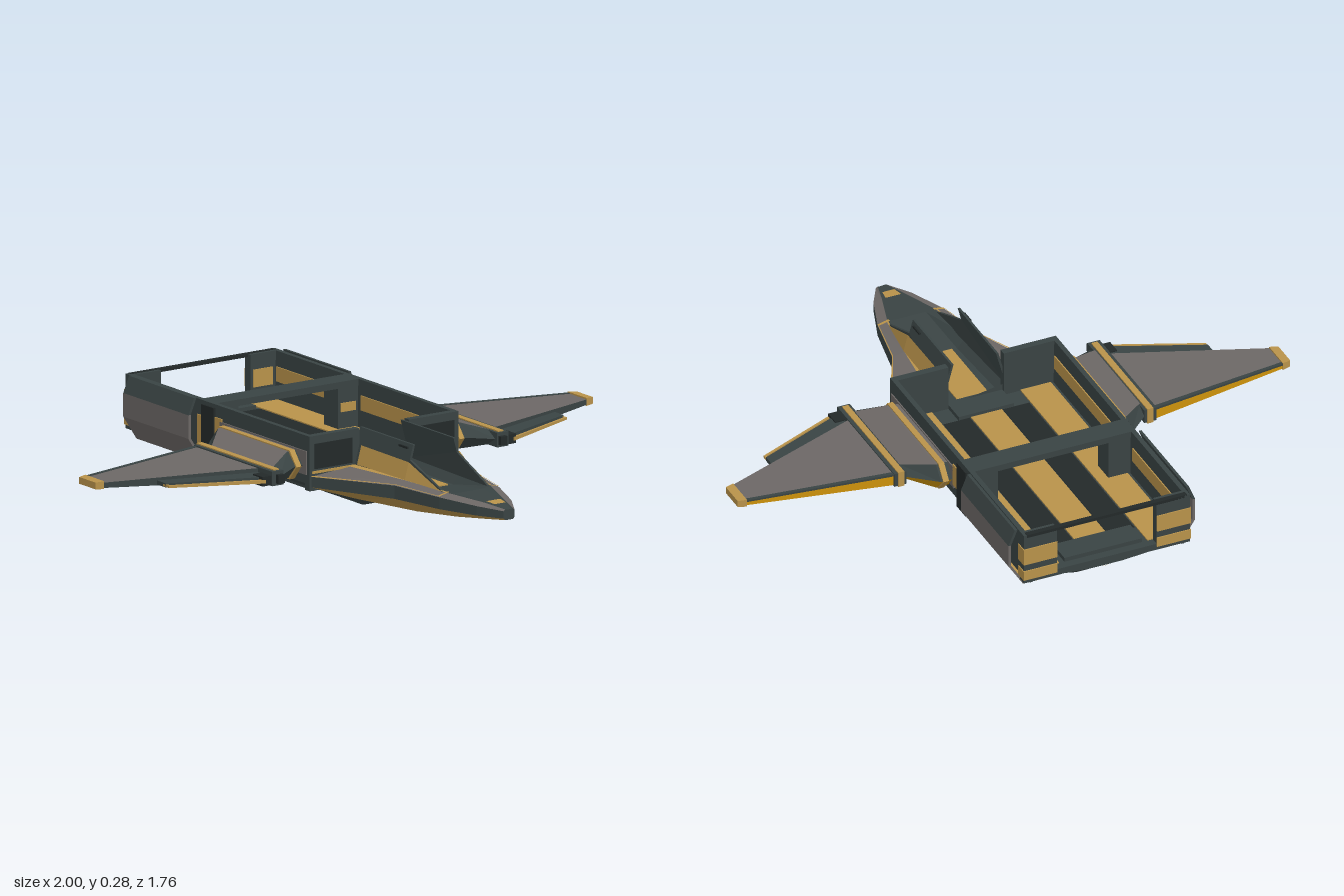
import * as THREE from 'three';

const mat = (name, color) => {
  const m = new THREE.MeshStandardMaterial({ color, flatShading: true, side: THREE.DoubleSide });
  m.name = name;
  return m;
};

export function createModel() {
  const ship = new THREE.Group();
  ship.name = 'openHullShip';
  const dark = mat('slate', 0x394343), gold = mat('gold', 0xb8924a), grey = mat('warmGrey', 0x6c6765),
    amber = mat('amber', 0xcc920c), black = mat('charcoal', 0x232929);

  const add = (name, geometry, material) => {
    const mesh = new THREE.Mesh(geometry, material);
    mesh.name = name;
    ship.add(mesh);
    return mesh;
  };
  // Box from its limits
  const box = (name, m, x0, x1, y0, y1, z0, z1) => {
    const g = new THREE.BoxGeometry(Math.abs(x1 - x0), y1 - y0, z1 - z0);
    g.translate((x0 + x1) / 2, (y0 + y1) / 2, (z0 + z1) / 2);
    return add(name, g, m);
  };
  // Solid through matching rings of points; one material per ring side, the last one for the caps
  const loft = (name, rings, mats) => {
    const list = Array.isArray(mats) ? mats : [mats];
    const used = [...new Set(list)], buckets = used.map(() => []), n = rings[0].length;
    const put = (side, ...tri) => buckets[used.indexOf(list[Math.min(side, list.length - 1)])].push(tri);
    for (let r = 0; r + 1 < rings.length; r++) {
      for (let i = 0; i < n; i++) {
        const j = (i + 1) % n, a = rings[r], b = rings[r + 1];
        put(i, a[i], a[j], b[j]);
        put(i, a[i], b[j], b[i]);
      }
    }
    const end = rings[rings.length - 1];
    for (let i = 1; i + 1 < n; i++) {
      put(n, rings[0][0], rings[0][i + 1], rings[0][i]);
      put(n, end[0], end[i], end[i + 1]);
    }
    // Turn every face outward, judged by the signed volume
    const o = new THREE.Vector3(...rings[0][0]);
    let volume = 0;
    buckets.flat().forEach(t => {
      const [a, b, c] = t.map(p => new THREE.Vector3(...p).sub(o));
      volume += a.dot(b.cross(c));
    });
    const g = new THREE.BufferGeometry(), pos = [];
    buckets.forEach((tris, k) => {
      g.addGroup(pos.length / 3, tris.length * 3, k);
      tris.forEach(t => pos.push(...(volume < 0 ? [t[0], t[2], t[1]] : t).flat()));
    });
    g.setAttribute('position', new THREE.Float32BufferAttribute(pos, 3));
    g.computeVertexNormals();
    return add(name, g, used.length > 1 ? used : used[0]);
  };
  // Thin strip of faces between two rows of points
  const strip = (name, m, a, b) => {
    const pos = [];
    for (let i = 0; i + 1 < a.length; i++) pos.push(...a[i], ...b[i], ...b[i + 1], ...a[i], ...b[i + 1], ...a[i + 1]);
    const g = new THREE.BufferGeometry();
    g.setAttribute('position', new THREE.Float32BufferAttribute(pos, 3));
    g.computeVertexNormals();
    return add(name, g, m);
  };
  const atZ = (z, pts) => pts.map(([x, y]) => [x, y, z]);
  const both = f => [1, -1].forEach(f);

  // Deck with inlaid strips, cross beams and raised sills
  box('floor', dark, -0.28, 0.28, 0.087, 0.11, -0.88, 0.16);
  [-0.215, 0, 0.215].forEach(x => {
    const w = x ? 0.055 : 0.056;
    box('floorStrip', gold, x - w, x + w, 0.11, 0.114, x ? -0.85 : -0.76, x ? 0.14 : 0.06);
  });
  both(s => box('floorGroove', black, s * 0.06, s * 0.155, 0.11, 0.112, -0.76, 0.06));
  box('rearSill', dark, -0.14, 0.14, 0.11, 0.125, -0.85, -0.76);
  box('frontSill', dark, -0.1, 0.1, 0.11, 0.125, 0.06, 0.16);
  box('crossBeam', dark, -0.29, 0.29, 0.25, 0.272, -0.46, -0.38);
  box('rearTopBar', black, -0.29, 0.29, 0.262, 0.273, -0.88, -0.862);

  both(s => {
    // Hull side walls
    const wall = [[0.27, 0.085], [0.3, 0.11], [0.3, 0.272], [0.283, 0.272], [0.28, 0.085]].map(([x, y]) => [s * x, y]);
    loft('sideWall', [atZ(-0.88, wall), atZ(0.16, wall)], dark);
    box('sidePanel', grey, s * 0.3, s * 0.304, 0.14, 0.22, -0.34, 0.15);
    box('sideJointPanel', gold, s * 0.3, s * 0.304, 0.15, 0.23, -0.37, -0.33);
    box('sideJointPanel', gold, s * 0.3, s * 0.304, 0.1, 0.22, -0.47, -0.44);
    box('sideFrame', black, s * 0.3, s * 0.308, 0.09, 0.26, -0.44, -0.37);
    [[-0.36, 0.13], [-0.84, -0.48]].forEach(([a, b]) =>
      box('innerPanel', gold, s * 0.277, s * 0.281, 0.17, 0.22, a, b));
    box('bellyPanel', gold, s * 0.14, s * 0.275, 0.083, 0.088, -0.87, 0.15);

    // Bulkheads and beam posts
    box('frontBulkhead', dark, s * 0.1, s * 0.3, 0.087, 0.272, 0.14, 0.165);
    box('frontBulkheadInset', black, s * 0.13, s * 0.28, 0.16, 0.245, 0.165, 0.168);
    box('frontBulkheadBand', gold, s * 0.12, s * 0.29, 0.145, 0.153, 0.165, 0.169);
    box('beamPost', dark, s * 0.2, s * 0.28, 0.11, 0.25, -0.46, -0.38);
    box('beamPostPanel', gold, s * 0.21, s * 0.27, 0.17, 0.2, -0.38, -0.376);
    box('rearPost', dark, s * 0.18, s * 0.3, 0.087, 0.272, -0.88, -0.85);
    [[0.1, 0.135], [0.16, 0.22]].forEach(([a, b]) => {
      box('rearBand', gold, s * 0.18, s * 0.303, a, b, -0.884, -0.88);
      box('rearSideBand', gold, s * 0.3, s * 0.303, a, b, -0.884, -0.84);
      box('rearInnerBand', gold, s * 0.19, s * 0.27, a, b, -0.85, -0.847);
    });

    // Folded armour shell around the rear flank
    const fold = [[0.315, 0.275], [0.338, 0.22], [0.338, 0.14], [0.285, 0.058], [0.15, 0.058]];
    [dark, grey, grey, gold].forEach((m, i) => {
      const [a, b] = [fold[i], fold[i + 1]], d = i === 3 ? [0, 0.01] : [-0.01, 0];
      const ring = [a, b, [b[0] + d[0], b[1] + d[1]], [a[0] + d[0], a[1] + d[1]]].map(([x, y]) => [s * x, y]);
      loft('flankArmour', [atZ(-0.84, ring), atZ(-0.47, ring)], m);
    });
    [-0.78, -0.54].forEach(z => {
      box('armourBracket', dark, s * 0.3, s * 0.33, 0.16, 0.19, z, z + 0.03);
      box('armourLowerBracket', dark, s * 0.22, s * 0.235, 0.06, 0.088, z, z + 0.03);
    });
  });

  // Keel, with sloped ends
  const keel = [[-0.88, 0.08], [-0.77, 0], [0.13, 0], [0.22, 0.035]].map(([z, y]) =>
    atZ(z, [[-0.15, 0.087], [0.15, 0.087], [0.06, y], [-0.06, y]]));
  loft('keel', keel, dark);
  const slope = (z, d) => [[-0.045, 0.08 - (z + 0.88) * 0.727 - 0.003, z], [0.045, 0.08 - (z + 0.88) * 0.727 - 0.003, z]][d];
  strip('keelVent', amber, [slope(-0.85, 0), slope(-0.81, 0)], [slope(-0.85, 1), slope(-0.81, 1)]);

  // Nose: z, trough x and y, deck edge x and y, shoulder x and y, belly x and y
  const stations = [
    [0.15, 0.09, 0.115, 0.12, 0.15, 0.3, 0.135, 0.1, 0.03],
    [0.45, 0.075, 0.115, 0.11, 0.155, 0.16, 0.145, 0.07, 0.045],
    [0.65, 0.055, 0.145, 0.085, 0.15, 0.12, 0.14, 0.05, 0.065],
    [0.79, 0.03, 0.138, 0.04, 0.14, 0.07, 0.132, 0.03, 0.083],
    [0.875, 0.01, 0.128, 0.015, 0.13, 0.022, 0.125, 0.015, 0.094]];
  const nose = stations.map(([z, t, ty, c, cy, w, wy, b, by]) => {
    const half = [[t, ty], [c, cy], [w, wy], [w, 0.1], [b, by]];
    return atZ(z, [...half, ...half.slice().reverse().map(([x, y]) => [-x, y])]);
  });
  loft('nose', nose, [dark, grey, dark, gold, dark, gold, dark, grey, dark, dark, dark]);
  box('noseFloorStrip', gold, -0.056, 0.056, 0.114, 0.119, 0.15, 0.45);
  strip('noseTipPlate', gold, [[-0.028, 0.142, 0.785], [-0.022, 0.139, 0.825]], [[0.028, 0.142, 0.785], [0.022, 0.139, 0.825]]);

  both(s => {
    // Gold trim along both edges of the nose shoulders
    const along = t => stations.slice(0, 3).map(([z, , , c, cy, w, wy]) =>
      [s * (c + (w - c) * t), cy + (wy - cy) * t + 0.003, Math.max(z, 0.17)]);
    strip('shoulderTrim', gold, along(0), along(0.14));
    strip('shoulderTrim', gold, along(0.93), along(1));
    strip('shoulderEnd', gold, [[s * 0.08, 0.153, 0.64], [s * 0.08, 0.153, 0.65]], [[s * 0.12, 0.144, 0.64], [s * 0.12, 0.144, 0.65]]);

    // Upright cockpit cheeks leaning inward
    const lean = (z, y, out) => [s * (0.118 - (y - 0.15) * 0.27 - Math.max(0, z - 0.45) * 0.15 + out), y, z];
    const cheek = [[0.15, 0.14], [0.64, 0.145], [0.45, 0.222], [0.45, 0.272], [0.15, 0.272]];
    loft('cockpitCheek', [0, -0.008].map(o => cheek.map(([z, y]) => lean(z, y, o))), dark);
    strip('cheekPanel', gold, [lean(0.18, 0.218, 0.003), lean(0.45, 0.216, 0.003), lean(0.61, 0.155, 0.003)],
      [lean(0.18, 0.155, 0.003), lean(0.45, 0.158, 0.003), lean(0.61, 0.152, 0.003)]);
    box('cheekSlot', black, s * 0.089, s * 0.095, 0.255, 0.262, 0.38, 0.43);

    // Wing section at x: back z, front z, bottom y, top y
    const rib = (x, zb, zf, y0, y1) => [[s * x, y1, zb], [s * x, y1, zf], [s * x, y0, zf], [s * x, y0, zb]];
    const foil = (x, zb, zf, y0, y1) => {
      const m = (y0 + y1) / 2, e = 0.04;
      return [[x, m, zb], [x, y1, zb + e], [x, y1, zf - e], [x, m, zf], [x, y0, zf - e], [x, y0, zb + e]].map(([a, b, c]) => [s * a, b, c]);
    };
    loft('wingRoot', [foil(0.3, -0.33, 0.13, 0.125, 0.215), foil(0.345, -0.33, 0.14, 0.125, 0.215), foil(0.435, -0.24, 0.19, 0.138, 0.187)],
      [dark, grey, dark, dark, grey, amber, dark]);
    loft('wingRootBand', [foil(0.318, -0.335, 0.145, 0.121, 0.219), foil(0.338, -0.335, 0.145, 0.121, 0.219)], gold);
    box('wingHinge', dark, s * 0.43, s * 0.475, 0.137, 0.186, -0.245, 0.2);
    box('wingHingeStrip', gold, s * 0.44, s * 0.462, 0.134, 0.19, -0.248, 0.19);
    box('wingHingeNose', black, s * 0.435, s * 0.46, 0.145, 0.175, 0.19, 0.215);
    loft('wing', [rib(0.47, -0.24, 0.12, 0.14, 0.182), rib(0.97, -0.16, -0.055, 0.151, 0.169)],
      [grey, dark, grey, amber, dark]);
    loft('wingTrailingTrim', [rib(0.47, -0.243, -0.228, 0.176, 0.184), rib(0.97, -0.163, -0.15, 0.165, 0.171)], dark);
    loft('wingTip', [rib(0.97, -0.163, -0.055, 0.147, 0.174), rib(1, -0.155, -0.062, 0.149, 0.172)], gold);

    // Leading-edge flap with its gold rail
    loft('wingFlap', [rib(0.47, 0.11, 0.19, 0.145, 0.168), rib(0.8, 0, 0.055, 0.15, 0.164)], dark);
    loft('flapRail', [rib(0.5, 0.19, 0.199, 0.15, 0.162), rib(0.8, 0.064, 0.073, 0.152, 0.16)], gold);
    box('flapRailMount', gold, s * 0.792, s * 0.8, 0.152, 0.16, 0.04, 0.073);
    box('flapActuator', black, s * 0.475, s * 0.51, 0.14, 0.172, 0.14, 0.195);
  });

  return ship;
}
